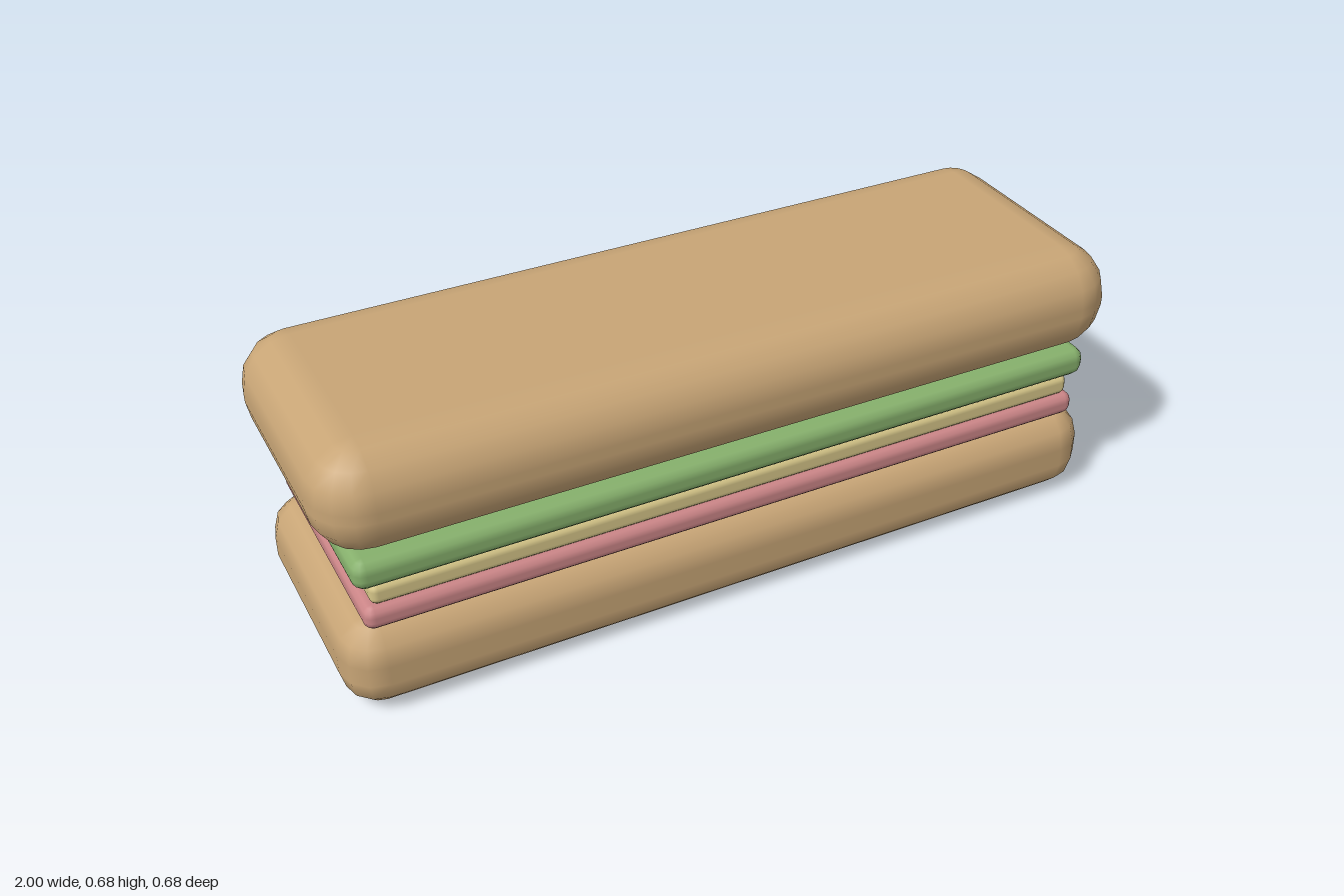
import * as THREE from 'three';

// Box with evenly stepped round edges and ball corners, built ring by ring.
function roundedSlab(w, h, d, r, n) {
  const pos = [], nor = [], index = [];
  const ring = 4 * (n + 1), rows = 2 * (n + 1);
  for (let j = 0; j < rows; j++) {
    const upper = j > n;
    const lat = ((upper ? j - 1 : j) / n - 1) * Math.PI / 2;
    for (let q = 0; q < 4; q++) {
      const sx = q === 0 || q === 3 ? 1 : -1;
      const sz = q < 2 ? 1 : -1;
      for (let i = 0; i <= n; i++) {
        const a = (q + i / n) * Math.PI / 2;
        const nx = Math.cos(lat) * Math.cos(a);
        const ny = Math.sin(lat);
        const nz = Math.cos(lat) * Math.sin(a);
        pos.push(
          sx * (w / 2 - r) + nx * r,
          (upper ? 1 : -1) * (h / 2 - r) + ny * r,
          sz * (d / 2 - r) + nz * r
        );
        nor.push(nx, ny, nz);
      }
    }
  }
  for (let j = 0; j < rows - 1; j++) {
    for (let i = 0; i < ring; i++) {
      const k = (i + 1) % ring;
      const a = j * ring + i, b = j * ring + k;
      index.push(a, a + ring, b, b, a + ring, b + ring);
    }
  }
  // Flat underside and top
  const s = n + 1, t = (rows - 1) * ring;
  index.push(0, s, 2 * s, 0, 2 * s, 3 * s);
  index.push(t, t + 2 * s, t + s, t, t + 3 * s, t + 2 * s);

  const g = new THREE.BufferGeometry();
  g.setAttribute('position', new THREE.Float32BufferAttribute(pos, 3));
  g.setAttribute('normal', new THREE.Float32BufferAttribute(nor, 3));
  g.setIndex(index);
  return g;
}

function material(name, color) {
  const m = new THREE.MeshStandardMaterial({ color });
  m.name = name;
  return m;
}

export function createModel() {
  const group = new THREE.Group();
  group.name = 'sandwich';
  const bread = material('bread', 0xc8a576);
  const ham = material('ham', 0xcb8587);
  const cheese = material('cheese', 0xd5c588);
  const lettuce = material('lettuce', 0x86b06c);

  // name, material, width, depth, bottom, top, edge radius, edge steps
  const layers = [
    ['bottomBread', bread, 1.96, 0.644, 0, 0.228, 0.09, 3],
    ['hamSlice', ham, 1.85, 0.606, 0.228, 0.288, 0.024, 3],
    ['cheeseSlice', cheese, 1.81, 0.588, 0.288, 0.342, 0.018, 3],
    ['lettuceLayer', lettuce, 1.88, 0.62, 0.342, 0.417, 0.03, 3],
    ['topBread', bread, 2, 0.68, 0.417, 0.68, 0.12, 4],
  ];
  for (const [name, mat, w, d, y0, y1, r, n] of layers) {
    const mesh = new THREE.Mesh(roundedSlab(w, y1 - y0, d, r, n), mat);
    mesh.name = name;
    mesh.position.y = (y0 + y1) / 2;
    group.add(mesh);
  }
  return group;
}
